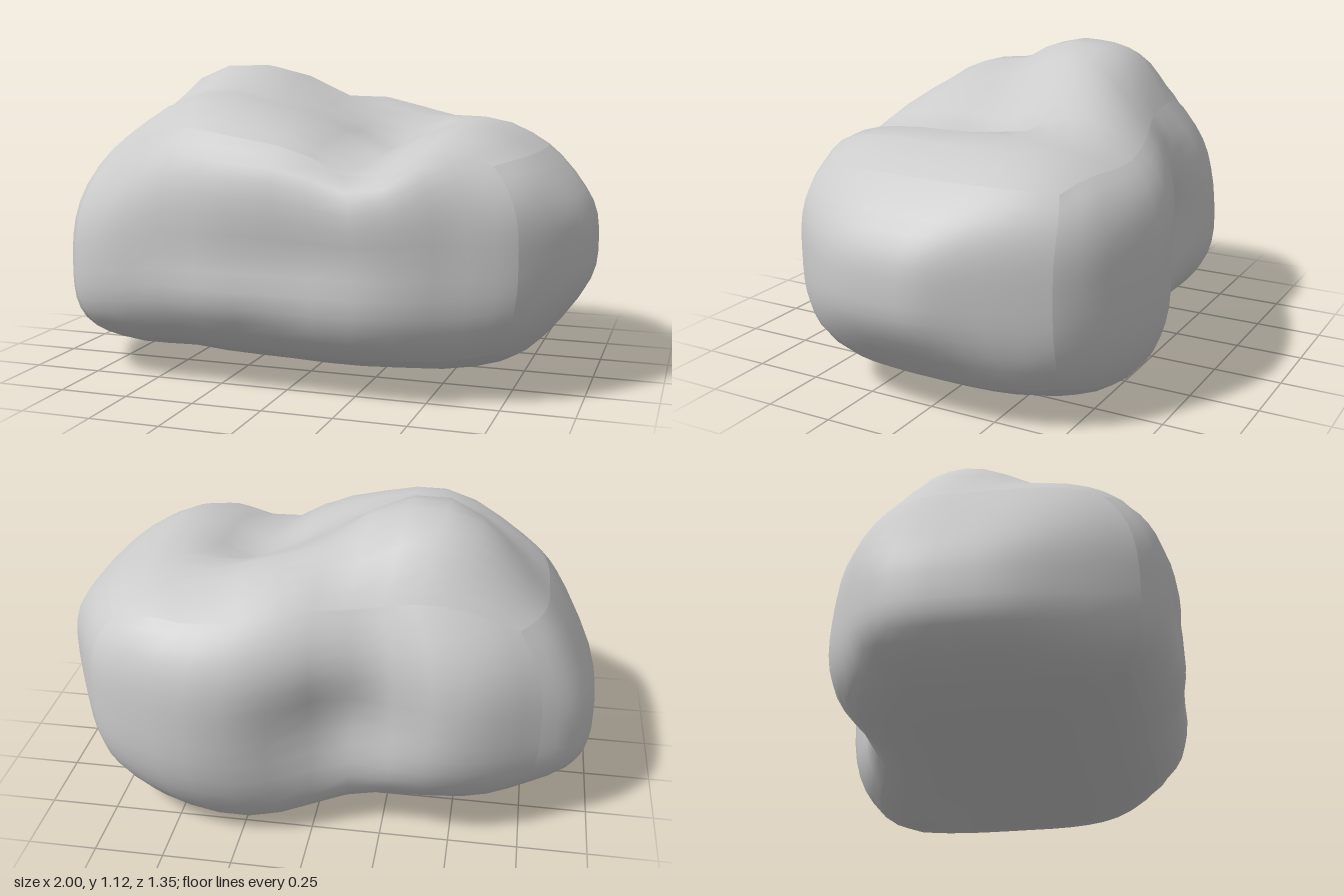
import * as THREE from 'three';

// Half-extents of the boulder, sampled every 0.2 from x = -1 to x = 1
const FRONT = [0.5, 0.69, 0.685, 0.66, 0.675, 0.665, 0.675, 0.68, 0.62, 0.61, 0.52];
const BACK = [0.52, 0.49, 0.55, 0.565, 0.545, 0.6, 0.665, 0.695, 0.675, 0.615, 0.33];
const TOP = [0.35, 0.48, 0.49, 0.475, 0.46, 0.45, 0.43, 0.43, 0.455, 0.41, 0.32];
const BOTTOM = [0.3, 0.38, 0.43, 0.435, 0.44, 0.445, 0.45, 0.45, 0.47, 0.45, 0.32];
const MIDDLE = [0.35, 0.415, 0.47, 0.5, 0.5, 0.5, 0.5, 0.5, 0.5, 0.5, 0.5];

// Local lumps and dents: [centre a, centre b, spread a, spread b, height, flatness]
const TOP_LUMPS = [
  [-0.36, -0.09, 0.225, 0.18, 0.15, 2], // main hump with a flat crown
  [-0.33, 0.37, 0.2, 0.18, 0.085, 1], // its front shoulder
  [0.14, -0.32, 0.15, 0.16, 0.075, 1], // back ridge
  [0.26, 0.03, 0.09, 0.13, -0.09, 1], // pit
  [0.28, 0.45, 0.1, 0.25, -0.11, 1], // groove running to the front
];
const BACK_LUMPS = [
  [-0.08, 0.46, 0.14, 0.15, -0.09, 1], // dimple
  [-0.12, 0.2, 0.1, 0.15, -0.02, 1], // furrow below it
  [-0.36, 0.3, 0.13, 0.13, 0.02, 1], // swelling beside the furrow
  [-0.47, 0.95, 0.25, 0.18, -0.09, 1], // chamfer under the hump
];
const FRONT_LUMPS = [
  [0.05, 0.47, 0.28, 0.09, -0.025, 1], // shallow trough
  [-0.2, 0.33, 0.2, 0.09, 0.015, 1], // swelling below it
  [-0.12, 0.14, 0.1, 0.1, -0.02, 1], // notch at the foot
  [-0.72, 0.93, 0.13, 0.15, -0.09, 1], // chamfered upper corner
  [0.1, 0.95, 0.3, 0.14, 0.06, 1], // full upper edge
];
const BOTTOM_LUMPS = [[0.25, -0.52, 0.28, 0.17, 0.115, 1]]; // heel under the back

// Smooth lookup along x
function sample(list, x) {
  const t = THREE.MathUtils.clamp((x + 1) * 5, 0, 10);
  const i = Math.min(Math.floor(t), 9);
  const f = t - i;
  const a = list[Math.max(i - 1, 0)], b = list[i], c = list[i + 1], d = list[Math.min(i + 2, 10)];
  return b + 0.5 * f * (c - a + f * (2 * a - 5 * b + 4 * c - d + f * (3 * (b - c) + d - a)));
}

function lumps(list, a, b) {
  let sum = 0;
  for (const [ca, cb, sa, sb, h, flat] of list) {
    const q = 0.5 * (((a - ca) / sa) ** 2 + ((b - cb) / sb) ** 2);
    sum += h * Math.exp(-(q ** flat));
  }
  return sum;
}

export function createModel() {
  const group = new THREE.Group();
  group.name = 'rock';

  // Six separate cube sides keep a soft crease along the cube edges
  const geometry = new THREE.BoxGeometry(2, 2, 2, 14, 14, 14);
  const pos = geometry.attributes.position;
  const p = new THREE.Vector3();
  const n = 3.1;
  for (let i = 0; i < pos.count; i++) {
    p.fromBufferAttribute(pos, i);
    // Round the cube
    p.divideScalar((Math.abs(p.x) ** n + Math.abs(p.y) ** n + Math.abs(p.z) ** n) ** (1 / n));
    const x = p.x;
    const roughY = 0.5 + p.y * 0.5;
    // Depth follows the plan outline, height follows the elevation
    const depth = p.z > 0
      ? sample(FRONT, x) + lumps(FRONT_LUMPS, x, roughY)
      : sample(BACK, x) + lumps(BACK_LUMPS, x, roughY);
    const z = p.z * depth;
    const height = p.y > 0
      ? sample(TOP, x) + lumps(TOP_LUMPS, x, z)
      : sample(BOTTOM, x) + lumps(BOTTOM_LUMPS, x, z);
    pos.setXYZ(i, x, sample(MIDDLE, x) + p.y * height, z);
  }

  // Stand it on the ground
  geometry.computeBoundingBox();
  geometry.translate(0, -geometry.boundingBox.min.y, 0);
  geometry.computeVertexNormals();

  const boulder = new THREE.Mesh(geometry, new THREE.MeshStandardMaterial({ color: 0xcccccc }));
  boulder.name = 'boulder';
  group.add(boulder);
  return group;
}
